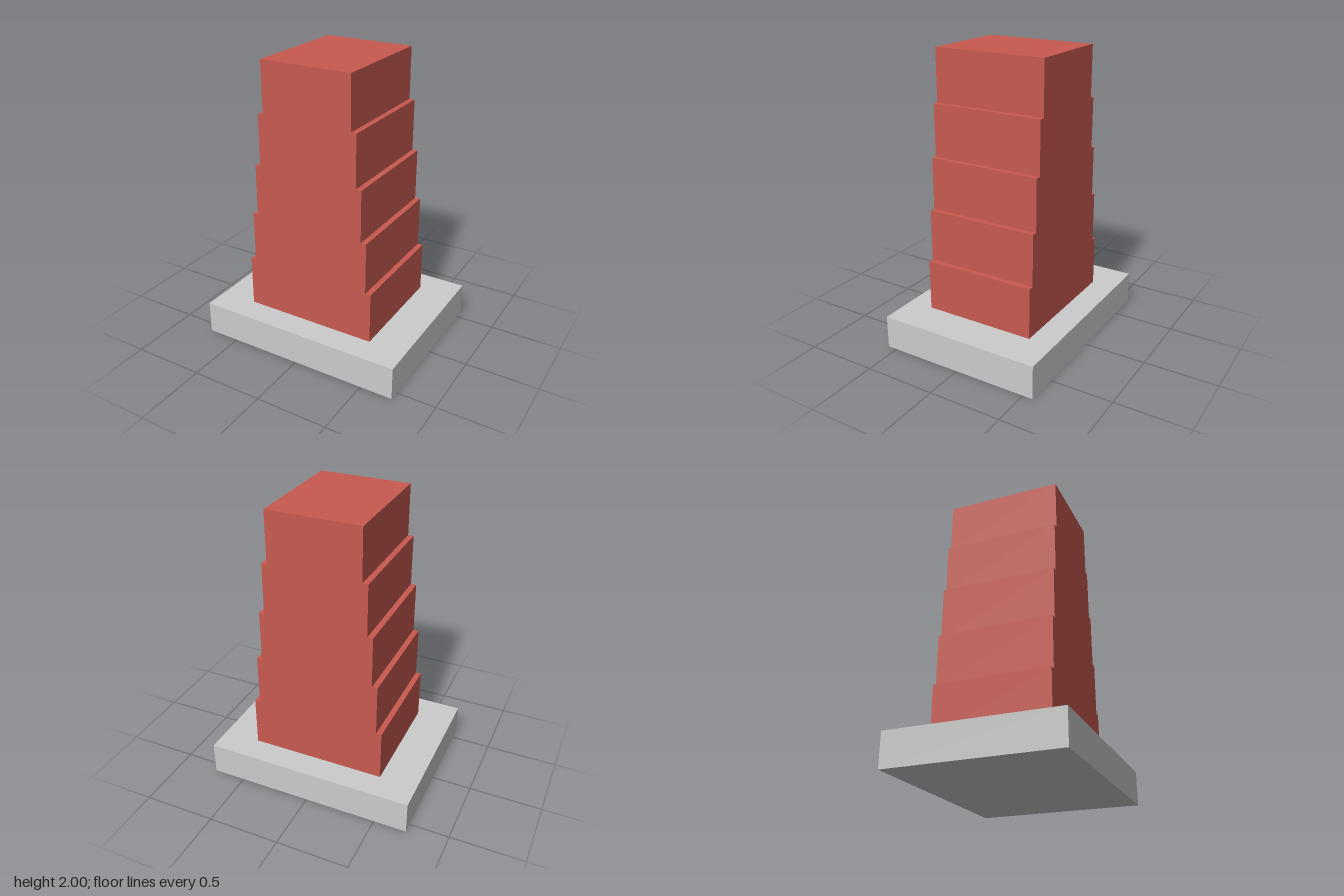
import * as THREE from 'three';

const BASE_H = 0.23, TOP = 2, TIERS = 5;
const BOTTOM_HALF = 0.468, TOP_HALF = 0.316, DEPTH = 0.784;

export function createModel() {
  const model = new THREE.Group();
  model.name = 'steppedTower';

  // Flat rectangular plinth
  const base = new THREE.Mesh(
    new THREE.BoxGeometry(1.456, BASE_H, 1.14),
    new THREE.MeshStandardMaterial({ color: 0xcccccc })
  );
  base.name = 'base';
  base.position.y = BASE_H / 2;
  model.add(base);

  // Tower: stepped outline, narrowing in x only, extruded along z
  const right = [];
  const tierH = (TOP - BASE_H) / TIERS;
  for (let i = 0; i < TIERS; i++) {
    const half = THREE.MathUtils.lerp(BOTTOM_HALF, TOP_HALF, i / (TIERS - 1));
    const y = BASE_H + i * tierH;
    right.push(new THREE.Vector2(half, y), new THREE.Vector2(half, y + tierH));
  }
  const left = right.map((p) => new THREE.Vector2(-p.x, p.y)).reverse();
  const geometry = new THREE.ExtrudeGeometry(new THREE.Shape([...right, ...left]), {
    depth: DEPTH, bevelEnabled: false,
  });
  geometry.translate(0, 0, -DEPTH / 2);
  const tower = new THREE.Mesh(geometry, new THREE.MeshStandardMaterial({ color: 0xc85a50 }));
  tower.name = 'tower';
  model.add(tower);

  return model;
}
